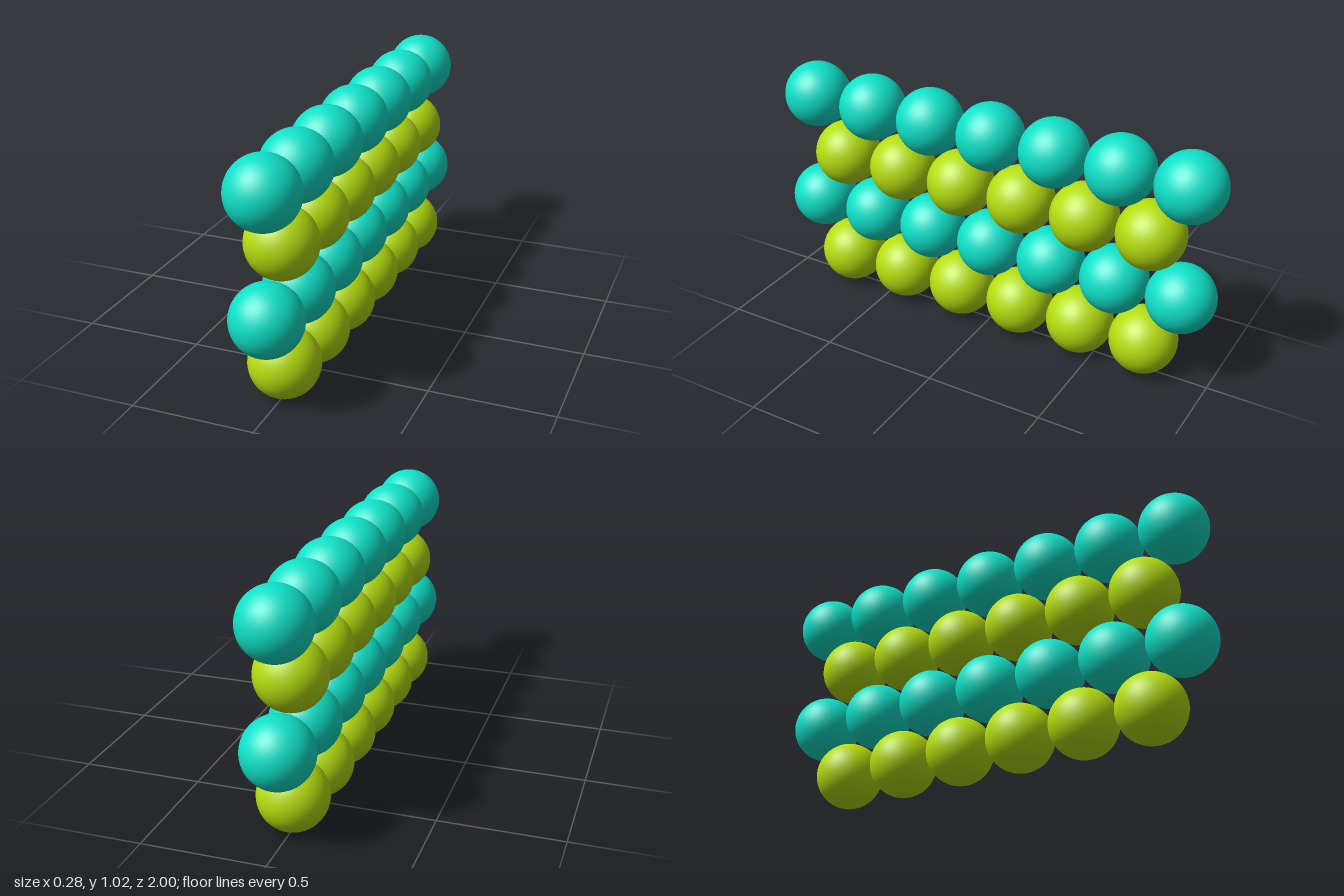
import * as THREE from 'three';

const RADIUS = 0.1413;
const PITCH = 0.2862;      // spacing of balls along a row
const ROW_HEIGHT = 0.246;  // spacing of rows

export function createModel() {
  const model = new THREE.Group();
  model.name = 'ballWall';

  const ball = new THREE.SphereGeometry(RADIUS, 48, 32);
  const lime = new THREE.MeshStandardMaterial({ color: 0xb5dd10 });
  const teal = new THREE.MeshStandardMaterial({ color: 0x10e0c8 });

  // Staggered rows: six lime balls alternate with seven teal balls
  for (let row = 0; row < 4; row++) {
    const isTeal = row % 2 === 1;
    const count = isTeal ? 7 : 6;
    const group = new THREE.Group();
    group.name = `${isTeal ? 'teal' : 'lime'}Row${row + 1}`;
    group.position.y = RADIUS + row * ROW_HEIGHT;
    for (let i = 0; i < count; i++) {
      const mesh = new THREE.Mesh(ball, isTeal ? teal : lime);
      mesh.name = `ball${i + 1}`;
      mesh.position.z = (i - (count - 1) / 2) * PITCH;
      group.add(mesh);
    }
    model.add(group);
  }
  return model;
}
